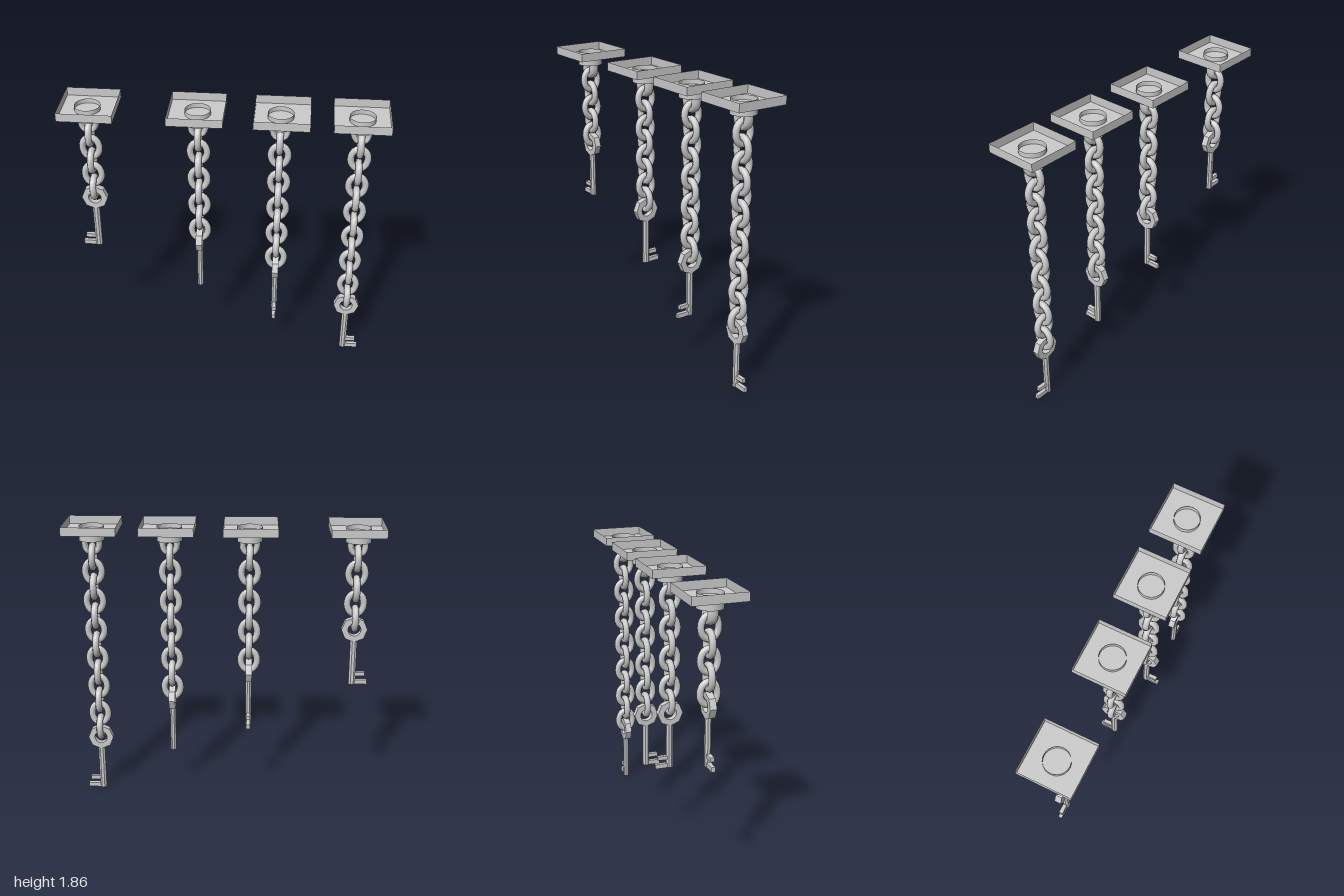
import * as THREE from 'three';

const mat = new THREE.MeshStandardMaterial({ color: 0xcccccc });
const flat = new THREE.MeshStandardMaterial({ color: 0xcccccc, flatShading: true });
const open = new THREE.MeshStandardMaterial({ color: 0xcccccc, side: THREE.DoubleSide });

const FIRST = 1.635, STEP = 0.0985; // height of the top link, drop per link

function add(parent, name, geometry, material, x = 0, y = 0, z = 0) {
  const mesh = new THREE.Mesh(geometry, material);
  mesh.name = name;
  mesh.position.set(x, y, z);
  parent.add(mesh);
  return mesh;
}

// Closed oval ring of round wire in the xy plane
class Oval extends THREE.Curve {
  constructor(rx, ry) { super(); this.rx = rx; this.ry = ry; }
  getPoint(t, target = new THREE.Vector3()) {
    const a = t * Math.PI * 2;
    return target.set(Math.cos(a) * this.rx, Math.sin(a) * this.ry, 0);
  }
}
const linkGeo = new THREE.TubeGeometry(new Oval(0.053, 0.071), 20, 0.022, 8, true);

// Shallow tray, open on top
function trayGeometry() {
  const g = new THREE.BoxGeometry(0.34, 0.055, 0.34);
  const index = Array.from(g.index.array);
  index.splice(12, 6); // drop the top face
  g.setIndex(index);
  g.clearGroups();
  return g;
}

// U-shaped hanger wire, wider front to back
function hangerGeometry() {
  const pts = [[-0.045, 1.75], [-0.045, 1.71]];
  for (let i = 1; i < 6; i++) {
    const a = Math.PI * (1 + i / 6);
    pts.push([Math.cos(a) * 0.045, 1.71 + Math.sin(a) * 0.045]);
  }
  pts.push([0.045, 1.71], [0.045, 1.75]);
  const curve = new THREE.CatmullRomCurve3(pts.map(([x, y]) => new THREE.Vector3(x, y, 0)));
  return new THREE.TubeGeometry(curve, 16, 0.021, 8, false).scale(1, 1, 1.6);
}

function makeMount(x) {
  const g = new THREE.Group();
  g.name = 'ceilingMount';
  add(g, 'tray', trayGeometry(), open, x, 1.8325);
  // hollow boss passing through the tray floor, closed underneath
  add(g, 'boss', new THREE.CylinderGeometry(0.08, 0.08, 0.09, 24, 1, true), open, 0, 1.79);
  add(g, 'bossBottom', new THREE.CircleGeometry(0.08, 24).rotateX(Math.PI / 2), open, 0, 1.745);
  add(g, 'hanger', hangerGeometry(), mat);
  return g;
}

// Key with its ring centred on the origin and its teeth towards +x
function makeKey() {
  const g = new THREE.Group();
  g.name = 'key';
  const ring = new THREE.Shape();
  for (let i = 0; i < 8; i++) {
    const a = i * Math.PI / 4;
    ring[i ? 'lineTo' : 'moveTo'](Math.cos(a) * 0.084, Math.sin(a) * 0.084);
  }
  ring.closePath();
  const hole = new THREE.Path();
  hole.absarc(0, 0, 0.042, 0, Math.PI * 2, true);
  ring.holes.push(hole);
  const ringGeo = new THREE.ExtrudeGeometry(ring, { depth: 0.042, bevelEnabled: false, curveSegments: 8 });
  add(g, 'keyRing', ringGeo.translate(0, 0, -0.021), flat);

  const shaft = new THREE.CylinderGeometry(0.024, 0.024, 0.31, 8).rotateY(Math.PI / 8);
  add(g, 'keyShaft', shaft.scale(1, 1, 0.85), flat, 0, -0.225);
  add(g, 'lowerTooth', new THREE.BoxGeometry(0.085, 0.03, 0.025), flat, 0.0555, -0.365);
  add(g, 'upperTooth', new THREE.BoxGeometry(0.07, 0.026, 0.025), flat, 0.046, -0.31);
  return g;
}

export function createModel() {
  const model = new THREE.Group();
  model.name = 'hangingKeys';
  // chain position, tray position, number of links, turn of the key
  const sets = [
    [-0.84, -0.83, 5, Math.PI],
    [-0.162, -0.168, 8, Math.PI / 2],
    [0.342, 0.352, 10, -Math.PI / 2],
    [0.833, 0.83, 13, 0],
  ];
  for (const [x, trayX, count, turn] of sets) {
    const g = new THREE.Group();
    g.name = 'keyOnChain';
    g.position.x = x;
    g.add(makeMount(trayX - x));

    // links turn a quarter each step
    const chain = new THREE.Group();
    chain.name = 'chain';
    for (let i = 0; i < count; i++) {
      const link = add(chain, 'chainLink', linkGeo, mat, 0, FIRST - i * STEP);
      link.rotation.y = i % 2 ? 0 : Math.PI / 2;
    }
    g.add(chain);

    const key = makeKey();
    key.position.y = FIRST - (count - 1) * STEP - 0.073;
    key.rotation.y = turn;
    g.add(key);
    model.add(g);
  }
  return model;
}
